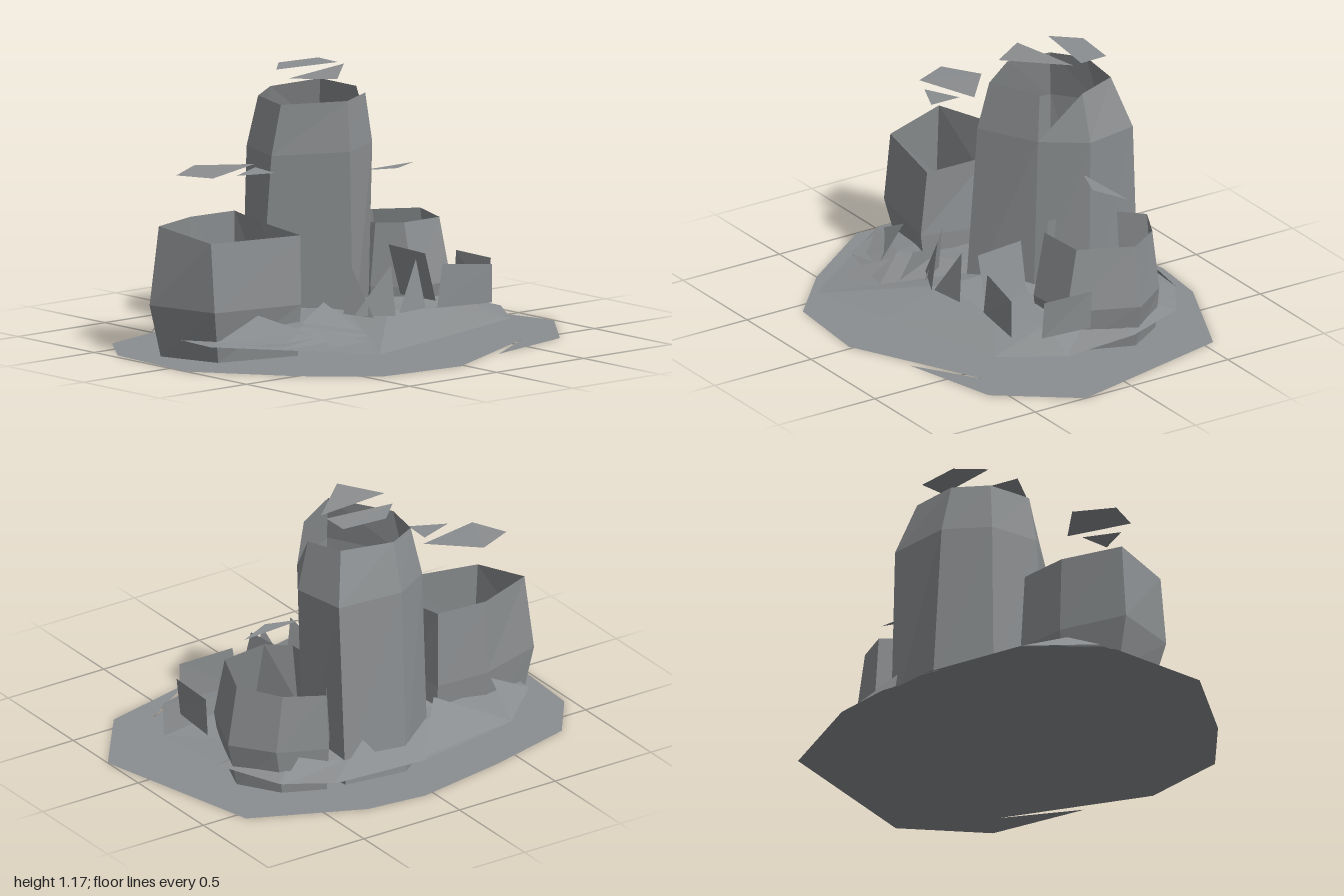
import * as THREE from 'three';

const stone = new THREE.MeshStandardMaterial({ color: 0x8b8e90, flatShading: true, side: THREE.DoubleSide });
stone.name = 'grey stone';

// Mesh from a list of triangles, each corner an [x, y, z] point
function facets(name, tris) {
  const geo = new THREE.BufferGeometry();
  geo.setAttribute('position', new THREE.Float32BufferAttribute(tris.flat(2), 3));
  geo.computeVertexNormals();
  const mesh = new THREE.Mesh(geo, stone);
  mesh.name = name;
  return mesh;
}

// Convex polygon of 3D points as a fan
const fan = (p) => p.slice(2).map((q, i) => [p[0], q, p[i + 1]]);

// Faceted band between two closed rings of equal length, without empty faces
function band(low, high) {
  const tris = [];
  const same = (a, b) => a.every((v, i) => v === b[i]);
  low.forEach((a, i) => {
    const j = (i + 1) % low.length;
    for (const t of [[a, low[j], high[j]], [a, high[j], high[i]]]) {
      if (!same(t[0], t[1]) && !same(t[1], t[2]) && !same(t[0], t[2])) tris.push(t);
    }
  });
  return tris;
}

const level = (y, points) => points.map(([x, z]) => [x, y, z]);

// Hollow column: base, middle and rim rings
function column(name, base, middle, rim) {
  return facets(name, [...band(base, middle), ...band(middle, rim)]);
}

export function createModel() {
  const group = new THREE.Group();
  group.name = 'rock formation';

  // Flat ground sheet and the sliver split from its edge
  const ground = level(0, [[0.04, -0.8], [-0.39, -0.72], [-0.8, -0.61], [-0.97, -0.38], [-1, 0.1],
    [-0.71, 0.5], [-0.44, 0.75], [-0.02, 0.79], [0.71, 0.43], [1, 0.235], [0.81, -0.55], [0.32, -0.77]]);
  group.add(facets('groundSheet', fan(ground)));
  group.add(facets('groundSliver', fan(level(0, [[0.29, 0.68], [0.74, 0.57], [1, 0.235], [0.72, 0.455]]))));

  // Low rubble mound around the columns
  const skirt = level(0.087, [[-0.41, 0.7], [-0.02, 0.6], [0.58, 0.43], [0.75, 0.17], [0.72, -0.2], [0.6, -0.5],
    [0.39, -0.63], [-0.05, -0.66], [-0.57, -0.56], [-0.82, -0.31], [-0.85, 0.09], [-0.66, 0.35]]);
  const shoulder = skirt.map(([x, , z], i) => {
    const s = [0.66, 0.5, 0.62, 0.7][i % 4];
    return [x * s, [0.12, 0.172, 0.14, 0.15][i % 4], z * s];
  });
  const crown = [0, 0.18, -0.05];
  const cap = shoulder.map((p, i) => [p, shoulder[(i + 1) % shoulder.length], crown]);
  group.add(facets('mound', [...band(skirt, shoulder), ...cap]));

  // Tall middle column with a notch broken out of its rim
  const notch = [0.2, 0.845, -0.045];
  group.add(column('tallColumn',
    level(0, [[-0.08, 0.15], [0.17, -0.04], [0.17, -0.04], [0.3, -0.245], [0.27, -0.52], [-0.02, -0.56], [-0.24, -0.4], [-0.345, -0.17]]),
    [[-0.055, 0.85, 0.1], notch, notch, [0.325, 0.84, -0.235], [0.28, 0.84, -0.485], [-0.03, 0.84, -0.51], [-0.22, 0.83, -0.39], [-0.27, 0.82, -0.17]],
    [[-0.03, 1.065, 0.055], [0.18, 1.06, -0.068], notch, [0.27, 1.055, -0.23], [0.22, 1.07, -0.41], [-0.03, 1.06, -0.45], [-0.18, 1.05, -0.36], [-0.22, 1.04, -0.165]]));

  // Shorter column on the model's left
  group.add(column('leftColumn',
    level(0, [[0.33, 0.04], [0.545, 0.03], [0.655, -0.25], [0.54, -0.43], [0.36, -0.51], [0.22, -0.3], [0.23, -0.08]]),
    level(0.2, [[0.34, 0.07], [0.57, 0.05], [0.7, -0.25], [0.57, -0.43], [0.36, -0.525], [0.2, -0.3], [0.22, -0.08]]),
    [[0.335, 0.48, 0.01], [0.555, 0.475, -0.01], [0.655, 0.47, -0.25], [0.53, 0.455, -0.42], [0.36, 0.45, -0.505], [0.22, 0.47, -0.3], [0.24, 0.48, -0.07]]));

  // Medium column on the model's right
  group.add(column('rightColumn',
    level(0, [[-0.76, 0.04], [-0.39, 0.14], [-0.295, -0.16], [-0.34, -0.31], [-0.59, -0.32], [-0.845, -0.24]]),
    level(0.23, [[-0.815, 0.08], [-0.395, 0.168], [-0.315, -0.16], [-0.34, -0.335], [-0.59, -0.345], [-0.9, -0.25]]),
    [[-0.81, 0.53, 0.05], [-0.38, 0.53, 0.145], [-0.35, 0.545, -0.16], [-0.35, 0.57, -0.32], [-0.59, 0.57, -0.335], [-0.86, 0.575, -0.235]]));

  // Upright slabs and spikes among the rubble
  const slabs = [
    [[0.28, 0.15, 0.29], [0.56, 0.145, 0.33], [0.56, 0.315, 0.33], [0.31, 0.34, 0.29]],
    [[0.28, 0.18, 0.28], [0.27, 0.18, 0.06], [0.21, 0.405, 0.05], [0.22, 0.395, 0.28]],
    [[0.63, 0.14, 0.22], [0.65, 0.14, -0.02], [0.66, 0.315, -0.02], [0.65, 0.315, 0.22]],
    [[-0.19, 0.17, 0.28], [-0.02, 0.16, 0.36], [-0.02, 0.38, 0.33]],
    [[0.0, 0.17, 0.36], [0.17, 0.17, 0.34], [0.14, 0.385, 0.31]],
    [[-0.19, 0.17, 0.21], [-0.12, 0.16, 0.33], [-0.15, 0.37, 0.22]],
    [[-0.17, 0.1, 0.3], [-0.06, 0.12, 0.26], [-0.13, 0, 0.2]],
  ];
  slabs.forEach((p, i) => group.add(facets('slab' + (i + 1), fan(p))));

  // Tilted flakes lying on the mound
  const flakes = [
    [[-0.82, 0.09, 0.08], [-0.6, 0.2, 0.12], [-0.45, 0.12, 0.35], [-0.66, 0.1, 0.36]],
    [[-0.5, 0.12, 0.22], [-0.25, 0.22, 0.15], [-0.24, 0.13, 0.38]],
    [[-0.52, 0.1, 0.5], [-0.42, 0.15, 0.3], [-0.33, 0.11, 0.53]],
    [[-0.57, 0.09, -0.56], [-0.3, 0.2, -0.36], [-0.05, 0.1, -0.65]],
    [[-0.82, 0.09, -0.33], [-0.62, 0.19, -0.33], [-0.57, 0.09, -0.56]],
    [[0.12, 0.1, -0.64], [0.2, 0.21, -0.55], [0.4, 0.09, -0.63]],
    [[0.3, 0.13, -0.54], [0.48, 0.17, -0.47], [0.6, 0.09, -0.52]],
  ];
  flakes.forEach((p, i) => group.add(facets('flake' + (i + 1), fan(p))));

  // Thin broken caps floating above the columns
  const caps = [
    [[-0.165, 1.147, -0.18], [0.2, 1.162, -0.23], [-0.04, 1.155, 0]],
    [[-0.12, 1.163, -0.31], [-0.01, 1.166, -0.42], [0.2, 1.165, -0.4], [0.2, 1.163, -0.27]],
    [[-0.72, 0.795, -0.04], [-0.79, 0.795, -0.2], [-0.61, 0.805, -0.29], [-0.41, 0.81, -0.12]],
    [[-0.62, 0.8, 0], [-0.46, 0.803, 0.07], [-0.45, 0.808, -0.07]],
    [[0.29, 0.682, -0.22], [0.61, 0.678, -0.24], [0.45, 0.68, -0.165]],
  ];
  caps.forEach((p, i) => group.add(facets('floatingCap' + (i + 1), fan(p))));

  return group;
}
